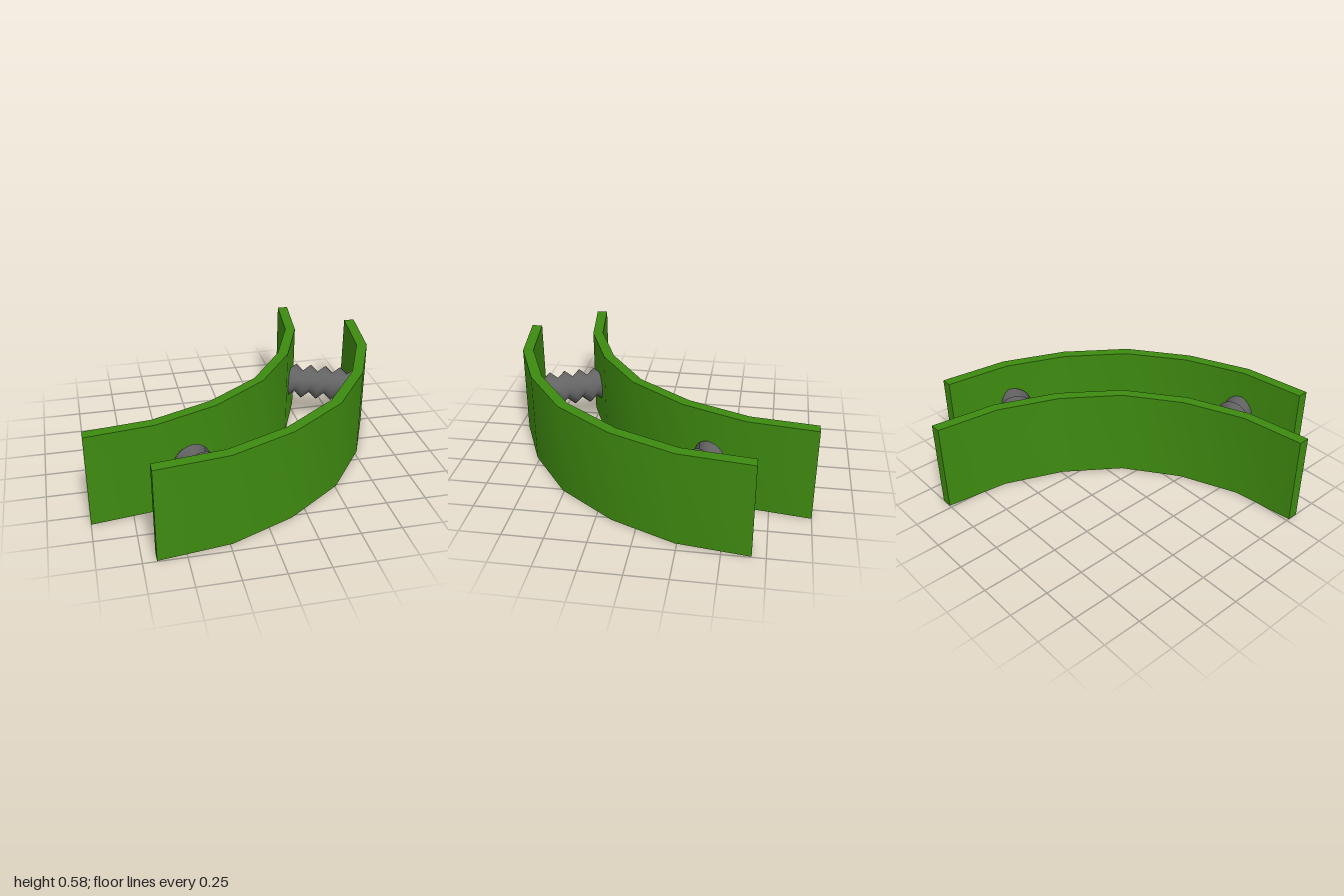
import * as THREE from 'three';
import { toCreasedNormals } from 'three/addons/utils/BufferGeometryUtils.js';

const HEIGHT = 0.585;
const green = new THREE.MeshStandardMaterial({ color: 0x3e8a10 });
green.name = 'green';
const grey = new THREE.MeshStandardMaterial({ color: 0x636363, side: THREE.DoubleSide });
grey.name = 'grey';

// Half an edge as [x, z] points; the other half mirrors it across the x = z diagonal
const mirrored = (half) => [...half, ...half.slice(0, -1).reverse().map(([x, z]) => [z, x])];

// Curved wall standing on the ground, between two edge lines
function wall(name, innerHalf, outerHalf) {
  const outline = [...mirrored(outerHalf), ...mirrored(innerHalf).reverse()];
  const shape = new THREE.Shape(outline.map(([x, z]) => new THREE.Vector2(x, -z)));
  const geo = new THREE.ExtrudeGeometry(shape, { depth: HEIGHT, bevelEnabled: false });
  geo.rotateX(-Math.PI / 2);
  const mesh = new THREE.Mesh(toCreasedNormals(geo, 0.6), green);
  mesh.name = name;
  return mesh;
}

// Screw-like coil: rows alternate between ridge and groove and climb one pitch per turn
function coil(name, from, to) {
  const length = from.distanceTo(to);
  const pitch = 0.101, ridge = 0.115, groove = 0.072, sides = 32;
  const rows = Math.ceil(length / pitch) * 2 + 4;
  const geo = new THREE.PlaneGeometry(1, 1, sides, rows);
  const pos = geo.attributes.position;
  for (let row = 0; row <= rows; row++) {
    for (let i = 0; i <= sides; i++) {
      const turn = i / sides;
      const a = turn * Math.PI * 2;
      const along = (row / 2 - 1 + turn) * pitch;
      const r = row % 2 ? groove : ridge;
      const y = THREE.MathUtils.clamp(along, 0, length);
      pos.setXYZ(row * (sides + 1) + i, r * Math.cos(a), y, r * Math.sin(a));
    }
  }
  geo.computeVertexNormals();
  const mesh = new THREE.Mesh(geo, grey);
  mesh.name = name;
  mesh.position.copy(from);
  const dir = to.clone().sub(from).normalize();
  mesh.quaternion.setFromUnitVectors(new THREE.Vector3(0, 1, 0), dir);
  return mesh;
}

export function createModel() {
  const model = new THREE.Group();
  model.name = 'curvedWallsWithCoils';

  model.add(
    wall('innerWall',
      [[-1, 0.52], [-0.605, 0.47], [-0.24, 0.32], [0.085, 0.085]],
      [[-1, 0.59], [-0.59, 0.535], [-0.21, 0.38], [0.13, 0.13]]),
    wall('outerWall',
      [[-0.67, 0.925], [-0.25, 0.87], [0.125, 0.71], [0.462, 0.462]],
      [[-0.67, 0.995], [-0.235, 0.937], [0.155, 0.77], [0.51, 0.51]])
  );

  // Coils bridging the gap between the walls
  const y = 0.29;
  model.add(
    coil('rightCoil', new THREE.Vector3(-0.41, y, 0.43), new THREE.Vector3(-0.22, y, 0.885)),
    coil('leftCoil', new THREE.Vector3(0.43, y, -0.41), new THREE.Vector3(0.885, y, -0.22))
  );
  return model;
}
